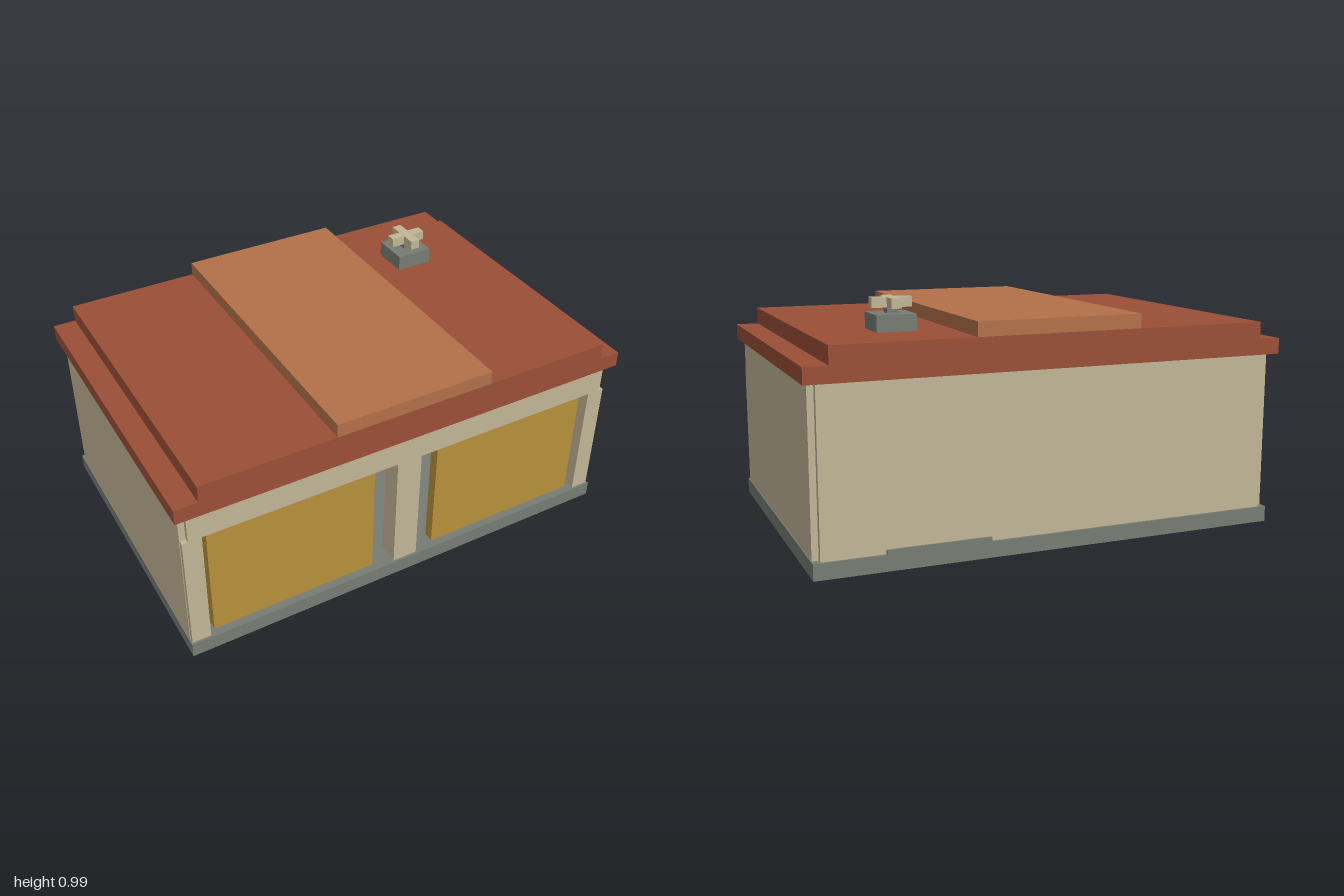
import * as THREE from 'three';

export function createModel() {
  const model = new THREE.Group();
  model.name = 'garage';

  const material = (name, color) => {
    const m = new THREE.MeshStandardMaterial({ color });
    m.name = name;
    return m;
  };
  const cream = material('cream plaster', 0xc2b697);
  const ochre = material('ochre door', 0xb8913b);
  const red = material('red roof', 0x9b5038);
  const orange = material('orange ridge', 0xb37149);
  const grey = material('grey stone', 0x767c74);

  // Box given by its extents on each axis
  const box = (name, mat, [x0, x1], [y0, y1], [z0, z1], parent = model) => {
    const mesh = new THREE.Mesh(new THREE.BoxGeometry(x1 - x0, y1 - y0, z1 - z0), mat);
    mesh.position.set((x0 + x1) / 2, (y0 + y1) / 2, (z0 + z1) / 2);
    mesh.name = name;
    parent.add(mesh);
    return mesh;
  };

  const floor = 0.065, eaves = 0.725, doorTop = 0.595;

  // Floor slab and the rear door sill
  box('floorSlab', grey, [-0.98, 0.98], [0, floor], [-0.655, 0.655]);
  box('rearSill', grey, [0.28, 0.7], [floor, 0.083], [-0.655, -0.64]);

  // Hollow shell: back wall, side walls and front lintel
  box('backWall', cream, [-0.95, 0.95], [floor, eaves], [-0.645, -0.62]);
  box('frontLintel', cream, [-0.95, 0.95], [doorTop, eaves], [0.62, 0.645]);
  for (const [side, s] of [['left', 1], ['right', -1]]) {
    const span = (a, b) => (s > 0 ? [a, b] : [-b, -a]);
    box(side + 'Wall', cream, span(0.95, 0.976), [floor, eaves], [-0.62, 0.625]);
    box(side + 'Pier', cream, span(0.895, 0.974), [floor, doorTop], [0.555, 0.645]);
    box(side + 'GarageDoor', ochre, span(0.147, 0.87), [floor, doorTop], [0.575, 0.62]);
  }
  box('centrePier', cream, [-0.057, 0.053], [floor, doorTop], [0.555, 0.645]);

  // Stepped roof
  const depth = [-0.67, 0.67];
  box('roofEaves', red, [-1, 1], [eaves, 0.79], depth);
  box('roofDeck', red, [-0.905, 0.905], [0.79, 0.862], depth);
  box('roofRidge', orange, [-0.345, 0.343], [0.862, 0.92], depth);

  // Roof vent with a crossed cap
  const vent = new THREE.Group();
  vent.name = 'roofVent';
  vent.position.set(0.572, 0, -0.33);
  model.add(vent);
  const wide = [-0.081, 0.081], thin = [-0.021, 0.021], cap = [0.95, 0.99];
  box('ventBase', grey, wide, [0.862, 0.928], wide, vent);
  box('ventShaft', grey, thin, [0.928, 0.95], thin, vent);
  box('ventBladeAcross', cream, wide, cap, thin, vent);
  box('ventBladeFront', cream, thin, cap, [0.021, 0.081], vent);
  box('ventBladeBack', cream, thin, cap, [-0.081, -0.021], vent);

  return model;
}
